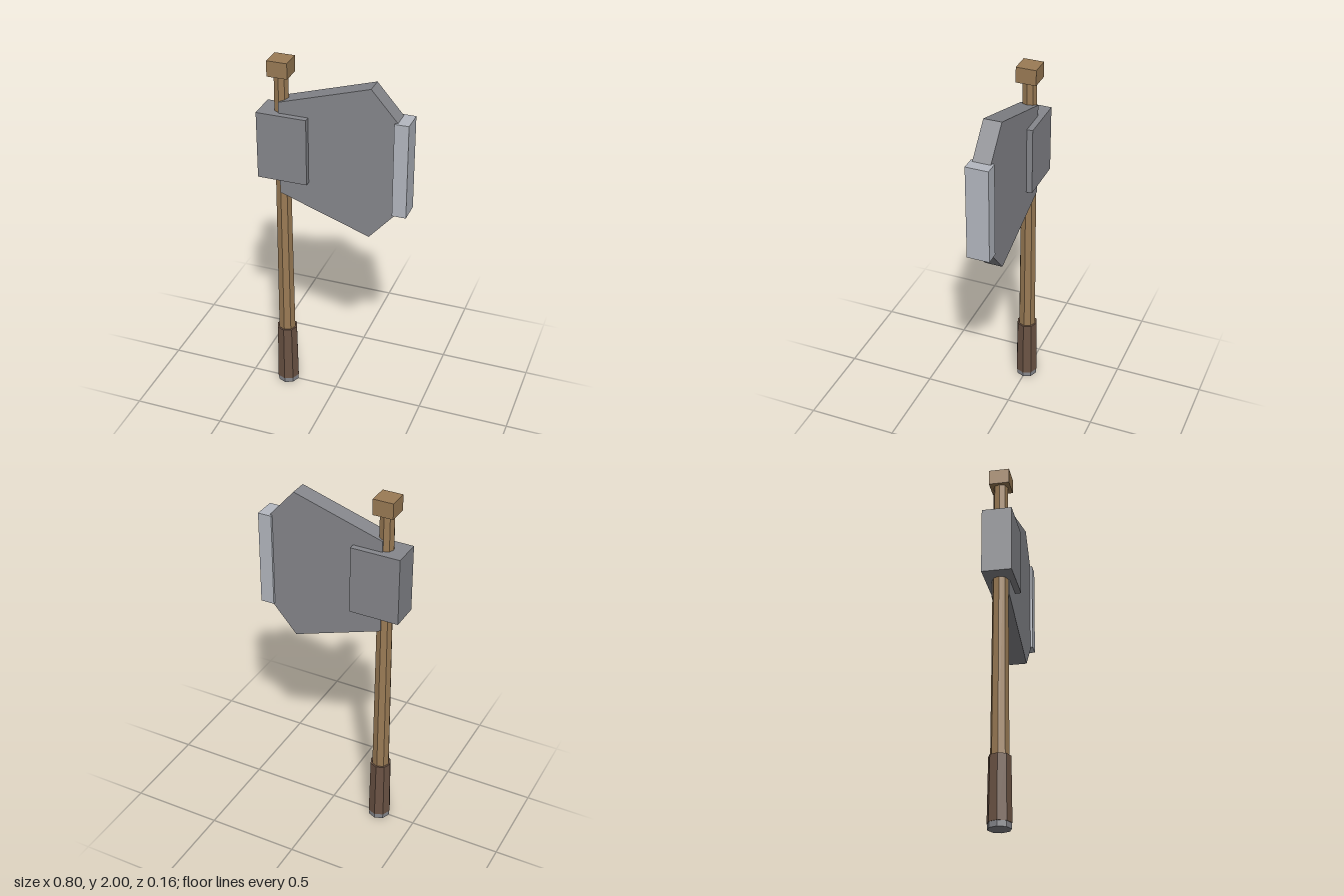
import * as THREE from 'three';

const HANDLE_X = -0.29;

function material(name, color) {
  const m = new THREE.MeshStandardMaterial({ color });
  m.name = name;
  m.flatShading = true;
  return m;
}

export function createModel() {
  const model = new THREE.Group();
  model.name = 'axe';

  const wood = material('wood', 0x9a7b55);
  const leather = material('dark leather', 0x6b5344);
  const steel = material('steel', 0x86878c);
  const brightSteel = material('bright steel', 0xb4b8c0);

  function add(name, geometry, mat, x, y) {
    const mesh = new THREE.Mesh(geometry, mat);
    mesh.name = name;
    mesh.position.set(x, y, 0);
    model.add(mesh);
  }

  // Eight-sided handle section between two heights
  function rod(name, rTop, rBottom, y0, y1, mat) {
    add(name, new THREE.CylinderGeometry(rTop, rBottom, y1 - y0, 8), mat, HANDLE_X, (y0 + y1) / 2);
  }

  // Box given by its extents in x and y and its depth
  function block(name, x0, x1, y0, y1, depth, mat) {
    add(name, new THREE.BoxGeometry(x1 - x0, y1 - y0, depth), mat, (x0 + x1) / 2, (y0 + y1) / 2);
  }

  // Handle, from the base up
  rod('pommelCap', 0.06, 0.06, 0, 0.03, steel);
  rod('grip', 0.058, 0.063, 0.03, 0.37, leather);
  rod('shaft', 0.039, 0.05, 0.03, 1.95, wood);
  block('topKnob', -0.345, -0.235, 1.915, 2, 0.11, wood);

  // Flared blade
  const outline = [
    [-0.29, 1.26], [0.2, 1.09], [0.34, 1.25],
    [0.34, 1.77], [0.2, 1.93], [-0.29, 1.78],
  ].map(([x, y]) => new THREE.Vector2(x, y));
  const blade = new THREE.ExtrudeGeometry(new THREE.Shape(outline), { depth: 0.096, bevelEnabled: false });
  blade.translate(0, 0, -0.048);
  add('blade', blade, steel, 0, 0);

  // Socket around the handle and the cutting edge
  block('socket', -0.4, -0.13, 1.35, 1.72, 0.16, steel);
  block('cuttingEdge', 0.325, 0.4, 1.25, 1.77, 0.122, brightSteel);

  return model;
}
